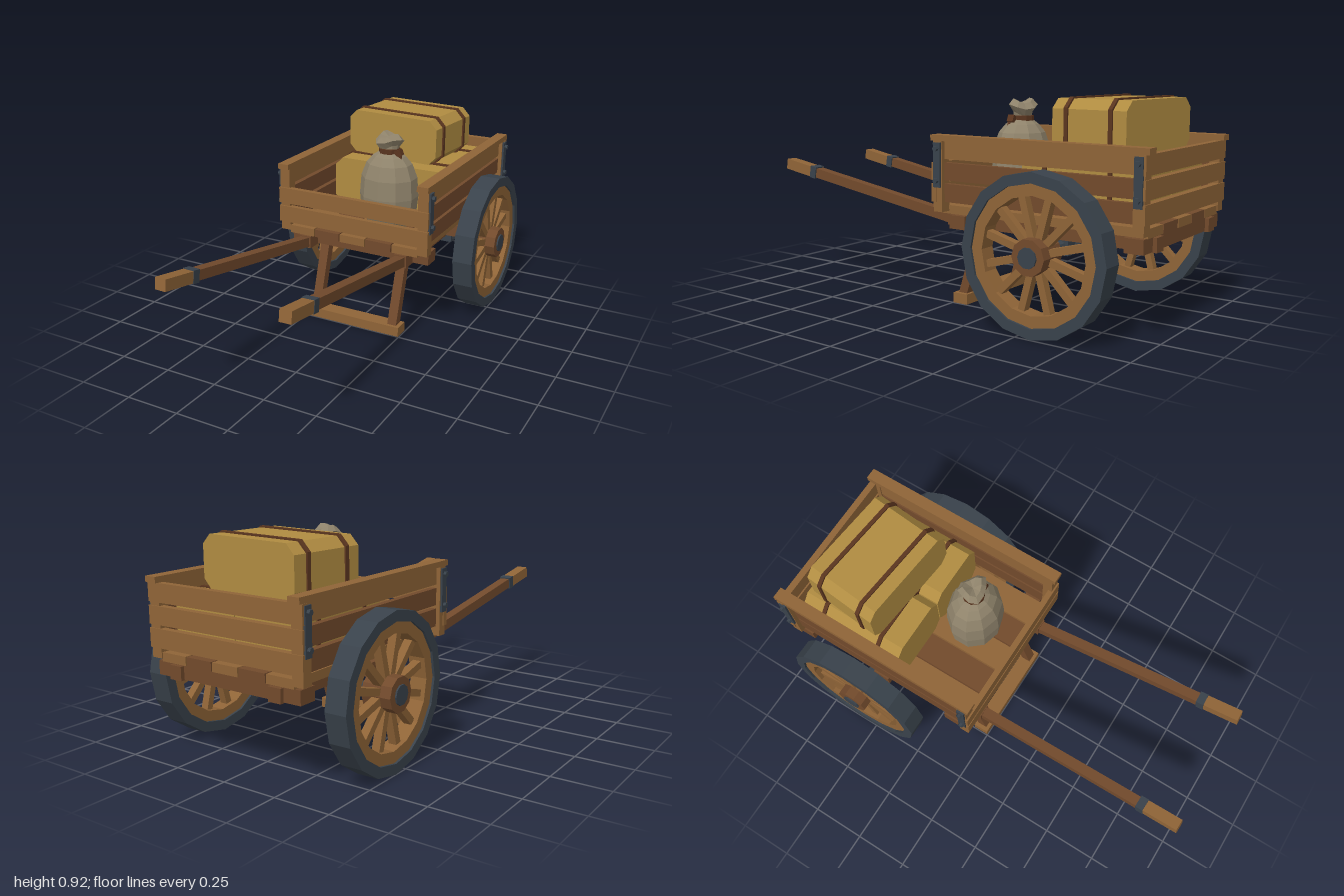
import * as THREE from 'three';

const mat = (name, color, side = THREE.FrontSide) => {
  const m = new THREE.MeshStandardMaterial({ color, flatShading: true, side });
  m.name = name;
  return m;
};

export function createModel() {
  const lightWood = mat('light wood', 0x8f6437);
  const darkWood = mat('dark wood', 0x724a2c);
  const iron = mat('iron', 0x39424b);
  const straw = mat('straw', 0xb08c41);
  const sackcloth = mat('sackcloth', 0x8f836b, THREE.DoubleSide);
  const leather = mat('leather', 0x5a351f);

  const cart = new THREE.Group();
  cart.name = 'handcart';

  const add = (name, geo, material, x = 0, y = 0, z = 0, parent = cart) => {
    const m = new THREE.Mesh(geo, material);
    m.name = name;
    m.position.set(x, y, z);
    parent.add(m);
    return m;
  };
  // box given by its min and max on each axis
  const box = (name, material, x0, x1, y0, y1, z0, z1, parent = cart) =>
    add(name, new THREE.BoxGeometry(x1 - x0, y1 - y0, z1 - z0), material,
      (x0 + x1) / 2, (y0 + y1) / 2, (z0 + z1) / 2, parent);
  // square bar from point a to point b
  const bar = (name, material, a, b, w, h) => {
    const A = new THREE.Vector3(...a), B = new THREE.Vector3(...b);
    const m = add(name, new THREE.BoxGeometry(w, h, A.distanceTo(B)), material);
    m.position.copy(A).add(B).multiplyScalar(0.5);
    m.lookAt(B);
    return m;
  };

  // floor planks in alternating wood
  for (let i = 0; i < 5; i++) {
    const x = (i - 2) * 0.134;
    box('floorPlank', i % 2 ? darkWood : lightWood, x - 0.064, x + 0.064, 0.418, 0.455, -0.975, -0.005);
  }

  // underframe
  for (const z of [-0.11, -0.5, -0.93]) box('crossBeam', darkWood, -0.358, 0.358, 0.36, 0.418, z - 0.04, z + 0.04);
  for (const s of [-1, 1]) box('frameBeam', darkWood, s * 0.25 - 0.03, s * 0.25 + 0.03, 0.357, 0.415, -0.987, 0);

  // slatted sides, corner posts, rails and iron straps
  const rows = [[0.472, 0.55], [0.565, 0.64], [0.655, 0.732]];
  for (const s of [-1, 1]) {
    const sx = (a, b) => (s > 0 ? [a, b] : [-b, -a]);
    rows.forEach(([y0, y1], i) =>
      box('sideBoard', i < 2 ? darkWood : lightWood, ...sx(0.335, 0.362), y0, y1, -0.965, -0.01));
    box('topRail', lightWood, ...sx(0.328, 0.382), 0.732, 0.757, -0.997, 0.012);
    for (const z of [-0.025, -0.957]) {
      box('cornerPost', lightWood, ...sx(0.33, 0.38), 0.43, 0.735, z - 0.023, z + 0.023);
      box('cornerStrap', iron, ...sx(0.378, 0.389), 0.535, 0.725, z - 0.018, z + 0.018);
      for (const y of [0.565, 0.7]) {
        const bolt = add('strapBolt', new THREE.CylinderGeometry(0.012, 0.012, 0.016, 6), iron, s * 0.394, y, z);
        bolt.rotation.z = Math.PI / 2;
      }
    }
  }
  rows.forEach(([y0, y1], i) => {
    if (i < 2) box('frontBoard', lightWood, -0.384, 0.384, y0, y1, -0.02, 0.006);
    box('backBoard', lightWood, -0.384, 0.384, y0, y1, -0.985, -0.955);
  });

  // pulling shafts with grips and bands
  for (const s of [-1, 1]) {
    const at = (t) => [s * (0.25 + 0.03 * t), 0.387 + 0.171 * t, t * 0.995];
    bar('shaft', darkWood, at(-0.02), at(0.86), 0.045, 0.045);
    bar('shaftBand', iron, at(0.805), at(0.84), 0.056, 0.056);
    bar('grip', lightWood, at(0.84), at(1), 0.052, 0.05);
    // prop leg
    bar('propLeg', darkWood, [s * 0.205, 0.37, -0.142], [s * 0.205, 0.035, -0.037], 0.045, 0.042);
  }
  box('propFoot', lightWood, -0.246, 0.246, 0, 0.046, -0.075, -0.002);

  // axle
  const axle = add('axle', new THREE.CylinderGeometry(0.028, 0.028, 0.8, 8), iron, 0, 0.327, -0.57);
  axle.rotation.z = Math.PI / 2;
  for (const s of [-1, 1])
    box('axleBracket', iron, s * 0.25 - 0.028, s * 0.25 + 0.028, 0.295, 0.36, -0.605, -0.535);

  // ring with a rectangular section, turned about y
  const ring = (r0, r1, h) => {
    const p = [[r0, -h], [r1, -h], [r1, h], [r0, h], [r0, -h]].map((v) => new THREE.Vector2(...v));
    return new THREE.LatheGeometry(p, 16);
  };
  // wheels
  for (const s of [-1, 1]) {
    const wheel = new THREE.Group();
    wheel.name = s > 0 ? 'leftWheel' : 'rightWheel';
    wheel.position.set(s * 0.453, 0.327, -0.57);
    wheel.rotation.z = -s * Math.PI / 2;
    cart.add(wheel);
    add('tyre', ring(0.283, 0.327, 0.0475), iron, 0, 0, 0, wheel);
    add('rim', ring(0.235, 0.285, 0.037), lightWood, 0, 0, 0, wheel);
    add('hub', new THREE.CylinderGeometry(0.074, 0.074, 0.132, 10), darkWood, 0, 0, 0, wheel);
    add('hubCap', new THREE.CylinderGeometry(0.042, 0.042, 0.03, 10), iron, 0, 0.058, 0, wheel);
    for (let i = 0; i < 12; i++) {
      const a = ((i + 0.5) / 12) * Math.PI * 2;
      const spoke = add('spoke', new THREE.BoxGeometry(0.03, 0.036, 0.19), lightWood,
        Math.sin(a) * 0.155, 0, Math.cos(a) * 0.155, wheel);
      spoke.rotation.y = a;
    }
  }

  // bales: chamfered blocks with two straps
  const block = (w, h, d, c) => {
    const x = w / 2, y = h / 2;
    const s = new THREE.Shape([[x, c - y], [x, y - c], [x - c, y], [c - x, y], [-x, y - c], [-x, c - y], [c - x, -y], [x - c, -y]]
      .map((v) => new THREE.Vector2(...v)));
    return new THREE.ExtrudeGeometry(s, { depth: d, bevelEnabled: false }).translate(0, 0, -d / 2);
  };
  const bale = (x, y, z, w, h, d, turn, strapZ) => {
    const g = new THREE.Group();
    g.name = 'bale';
    g.position.set(x, y, z);
    g.rotation.y = turn;
    cart.add(g);
    add('baleBody', block(w, h, d, 0.04), straw, 0, 0, 0, g);
    for (const k of [-1, 1]) add('baleStrap', block(w + 0.014, h + 0.014, 0.018, 0.042), leather, 0, 0, k * strapZ, g);
  };
  bale(-0.155, 0.576, -0.657, 0.305, 0.238, 0.51, 0, 0.145);
  bale(0.155, 0.576, -0.657, 0.305, 0.238, 0.51, 0, 0.145);
  bale(-0.028, 0.806, -0.675, 0.495, 0.218, 0.35, -0.09, 0.105);

  // sack with a crumpled, tied neck
  const sack = new THREE.Group();
  sack.name = 'sack';
  sack.position.set(0.07, 0.455, -0.245);
  cart.add(sack);
  const profile = [[0, 0], [0.1, 0.002], [0.133, 0.06], [0.142, 0.15], [0.135, 0.24], [0.11, 0.305], [0.078, 0.34],
    [0.042, 0.365], [0.046, 0.385], [0.068, 0.415], [0.045, 0.44], [0, 0.425]];
  const sackGeo = new THREE.LatheGeometry(profile.map((v) => new THREE.Vector2(...v)), 10);
  const p = sackGeo.attributes.position;
  for (let i = 0; i < p.count; i++) {
    const x = p.getX(i), y = p.getY(i), z = p.getZ(i), r = Math.hypot(x, z);
    if (y > 0.38 && r > 0.01) {
      const a = Math.atan2(z, x), k = 1 + 0.12 * Math.sin(3 * a + 1);
      p.setXYZ(i, x * k, y + 0.012 * Math.sin(2 * a + 0.5), z * k);
    }
  }
  sackGeo.scale(1, 1, 0.87);
  add('sackBody', sackGeo, sackcloth, 0, 0, 0, sack);
  add('sackTie', new THREE.CylinderGeometry(0.05, 0.05, 0.022, 10), leather, 0, 0.366, 0, sack);
  add('tieKnot', new THREE.BoxGeometry(0.03, 0.03, 0.03), leather, 0.055, 0.362, 0.015, sack).rotation.z = 0.4;
  add('tieEnd', new THREE.BoxGeometry(0.012, 0.04, 0.012), leather, 0.066, 0.342, 0.022, sack).rotation.z = 0.3;

  return cart;
}
